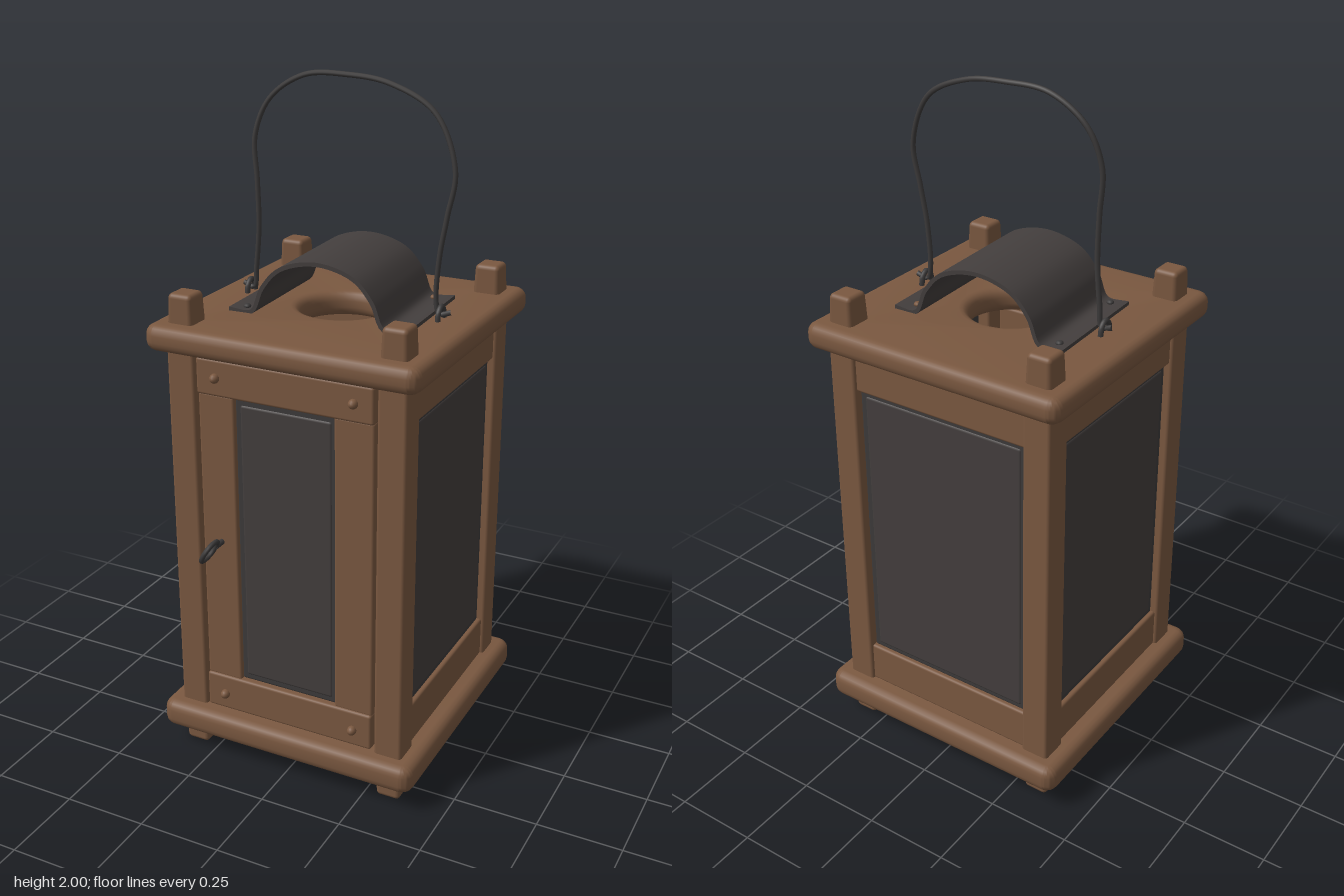
import * as THREE from 'three';
import { toCreasedNormals } from 'three/addons/utils/BufferGeometryUtils.js';
import { RoundedBoxGeometry } from 'three/addons/geometries/RoundedBoxGeometry.js';

export function createModel() {
  const mat = (name, color) => new THREE.MeshStandardMaterial({ name, color });
  const wood = mat('wood', 0x7a5840);
  const pane = mat('darkPane', 0x433e3d);
  const iron = mat('iron', 0x3c3a3a);
  const root = new THREE.Group();
  root.name = 'lantern';
  const CZ = -0.027; // centre of the square body in z
  const body = new THREE.Group();
  body.name = 'body';
  body.position.z = CZ;
  root.add(body);

  const add = (parent, name, geo, m, x = 0, y = 0, z = 0) => {
    const mesh = new THREE.Mesh(geo, m);
    mesh.name = name;
    mesh.position.set(x, y, z);
    parent.add(mesh);
    return mesh;
  };
  // Rounded box given by its ranges in x and y and its centre and depth in z
  const block = (parent, name, m, x0, x1, y0, y1, z, d, r = 0.008) =>
    add(parent, name, new RoundedBoxGeometry(x1 - x0, y1 - y0, d, 2, r), m, (x0 + x1) / 2, (y0 + y1) / 2, z);
  const v = (x, y, z) => new THREE.Vector3(x, y, z);
  const tube = (parent, name, pts, r, segs) =>
    add(parent, name, new THREE.TubeGeometry(new THREE.CatmullRomCurve3(pts), segs, r, 8), iron);

  // Rounded square slabs; the roof has a smoke hole
  const slab = (name, y0, y1, hole) => {
    const b = 0.028, h = 0.413 - b, c = 0.012;
    const s = new THREE.Shape();
    s.moveTo(-h + c, -h);
    s.lineTo(h - c, -h);
    s.quadraticCurveTo(h, -h, h, -h + c);
    s.lineTo(h, h - c);
    s.quadraticCurveTo(h, h, h - c, h);
    s.lineTo(-h + c, h);
    s.quadraticCurveTo(-h, h, -h, h - c);
    s.lineTo(-h, -h + c);
    s.quadraticCurveTo(-h, -h, -h + c, -h);
    if (hole) s.holes.push(new THREE.Path().absarc(0, 0, hole, 0, Math.PI * 2, true));
    const geo = new THREE.ExtrudeGeometry(s, {
      depth: y1 - y0 - 2 * b, bevelEnabled: true, bevelThickness: b, bevelSize: b, bevelSegments: 4, curveSegments: 20,
    });
    geo.rotateX(-Math.PI / 2);
    add(body, name, toCreasedNormals(geo, 0.7), wood, 0, y0 + b, 0);
  };
  slab('baseSlab', 0.063, 0.148);
  slab('roofSlab', 1.277, 1.352, 0.15);

  // Corner posts run through both slabs, with tapered tips as feet and knobs
  for (const sx of [-1, 1]) for (const sz of [-1, 1]) {
    const x = sx * 0.322, z = sz * 0.322;
    add(body, 'cornerPost', new RoundedBoxGeometry(0.086, 1.18, 0.086, 2, 0.01), wood, x, 0.71, z);
    const tip = (name, y, h, up) => {
      const geo = new RoundedBoxGeometry(0.082, h, 0.082, 3, 0.014);
      const p = geo.attributes.position;
      for (let i = 0; i < p.count; i++) {
        const k = 1 - 0.2 * Math.max(0, up * p.getY(i) / h + 0.1);
        p.setX(i, p.getX(i) * k);
        p.setZ(i, p.getZ(i) * k);
      }
      add(body, name, geo, wood, x, y, z);
    };
    tip('postKnob', 1.375, 0.12, 1);
    tip('foot', 0.06, 0.12, -1);
  }

  // Left, right and back walls: two rails and a framed pane
  for (const [name, a] of [['leftWall', Math.PI / 2], ['rightWall', -Math.PI / 2], ['backWall', Math.PI]]) {
    const wall = new THREE.Group();
    wall.name = name;
    wall.rotation.y = a;
    body.add(wall);
    block(wall, 'topRail', wood, -0.285, 0.285, 1.155, 1.28, 0.335, 0.04);
    block(wall, 'bottomRail', wood, -0.285, 0.285, 0.145, 0.272, 0.335, 0.04);
    block(wall, 'paneRim', iron, -0.28, 0.28, 0.268, 1.158, 0.329, 0.024);
    block(wall, 'pane', pane, -0.262, 0.262, 0.284, 1.142, 0.334, 0.02);
  }

  // Front door with two stiles, two pegged rails and a narrow pane
  const door = new THREE.Group();
  door.name = 'door';
  body.add(door);
  block(door, 'topRail', wood, -0.272, 0.27, 1.16, 1.268, 0.345, 0.04);
  block(door, 'bottomRail', wood, -0.272, 0.27, 0.152, 0.265, 0.345, 0.04);
  block(door, 'rightStile', wood, -0.272, -0.158, 0.26, 1.165, 0.338, 0.04);
  block(door, 'leftStile', wood, 0.15, 0.27, 0.26, 1.165, 0.338, 0.04);
  block(door, 'doorPaneRim', iron, -0.162, 0.154, 0.262, 1.162, 0.333, 0.024);
  block(door, 'doorPane', pane, -0.145, 0.139, 0.28, 1.142, 0.338, 0.02);
  for (const x of [-0.21, 0.212]) for (const y of [0.205, 1.215]) {
    const peg = add(door, 'doorPeg', new THREE.SphereGeometry(0.014, 12, 8), wood, x, y, 0.368);
    peg.scale.z = 1.2;
  }

  // Tilted pull ring with its stem
  const pull = new THREE.Group();
  pull.name = 'pullRing';
  pull.position.set(-0.21, 0.712, 0.4);
  pull.rotation.z = -0.5;
  root.add(pull);
  add(pull, 'ring', new THREE.TorusGeometry(0.035, 0.0075, 8, 24), iron).rotation.y = Math.PI / 2;
  add(pull, 'stem', new THREE.CylinderGeometry(0.009, 0.009, 0.06, 8), iron, 0, 0, -0.06).rotation.x = Math.PI / 2;

  // Bent sheet-metal smoke hood
  const hood = new THREE.Group();
  hood.name = 'smokeHood';
  hood.position.z = -0.028;
  hood.rotation.y = 0.035;
  root.add(hood);
  const mid = new THREE.CatmullRomCurve3([[-0.27, 1.357], [-0.2, 1.358], [-0.165, 1.43], [-0.11, 1.488], [0, 1.516],
    [0.11, 1.488], [0.165, 1.43], [0.2, 1.358], [0.27, 1.357]].map(([x, y]) => v(x, y, 0)));
  const outer = [], inner = [];
  for (let i = 0; i <= 48; i++) {
    const p = mid.getPoint(i / 48), t = mid.getTangent(i / 48);
    outer.push(new THREE.Vector2(p.x - t.y * 0.006, p.y + t.x * 0.006));
    inner.unshift(new THREE.Vector2(p.x + t.y * 0.006, p.y - t.x * 0.006));
  }
  const sheet = new THREE.ExtrudeGeometry(new THREE.Shape([...outer, ...inner]), { depth: 0.366, bevelEnabled: false });
  add(hood, 'hoodSheet', toCreasedNormals(sheet, 0.6), pane, 0, 0, -0.183);
  // Nails in the corners; one is a wooden peg
  for (const [x, z, m] of [[-0.245, -0.165, iron], [0.215, -0.18, wood], [-0.222, 0.133, iron], [0.251, 0.115, iron]])
    add(root, 'hoodNail', new THREE.SphereGeometry(0.011, 10, 8), m, x, 1.362, z).scale.y = 0.7;

  // Hand-bent wire handle, with hooked ends
  tube(root, 'wireHandle', [v(-0.325, 1.375, -0.03), v(-0.29, 1.366, -0.027), v(-0.283, 1.42, -0.027), v(-0.27, 1.55, -0.025),
    v(-0.272, 1.68, -0.025), v(-0.279, 1.81, -0.03), v(-0.235, 1.915, -0.04), v(-0.13, 1.984, -0.047), v(0, 1.992, -0.052),
    v(0.13, 1.977, -0.048), v(0.265, 1.91, -0.04), v(0.328, 1.765, -0.032), v(0.31, 1.64, -0.028), v(0.292, 1.53, -0.026),
    v(0.285, 1.4, -0.027), v(0.295, 1.366, -0.028), v(0.33, 1.375, -0.03)], 0.0075, 120);
  // Staples holding the handle
  for (const x of [-0.302, 0.3])
    tube(root, 'handleStaple', [v(x, 1.34, -0.052), v(x, 1.375, -0.046), v(x, 1.389, -0.028), v(x, 1.375, -0.01),
      v(x, 1.34, -0.004)], 0.008, 20);
  return root;
}
